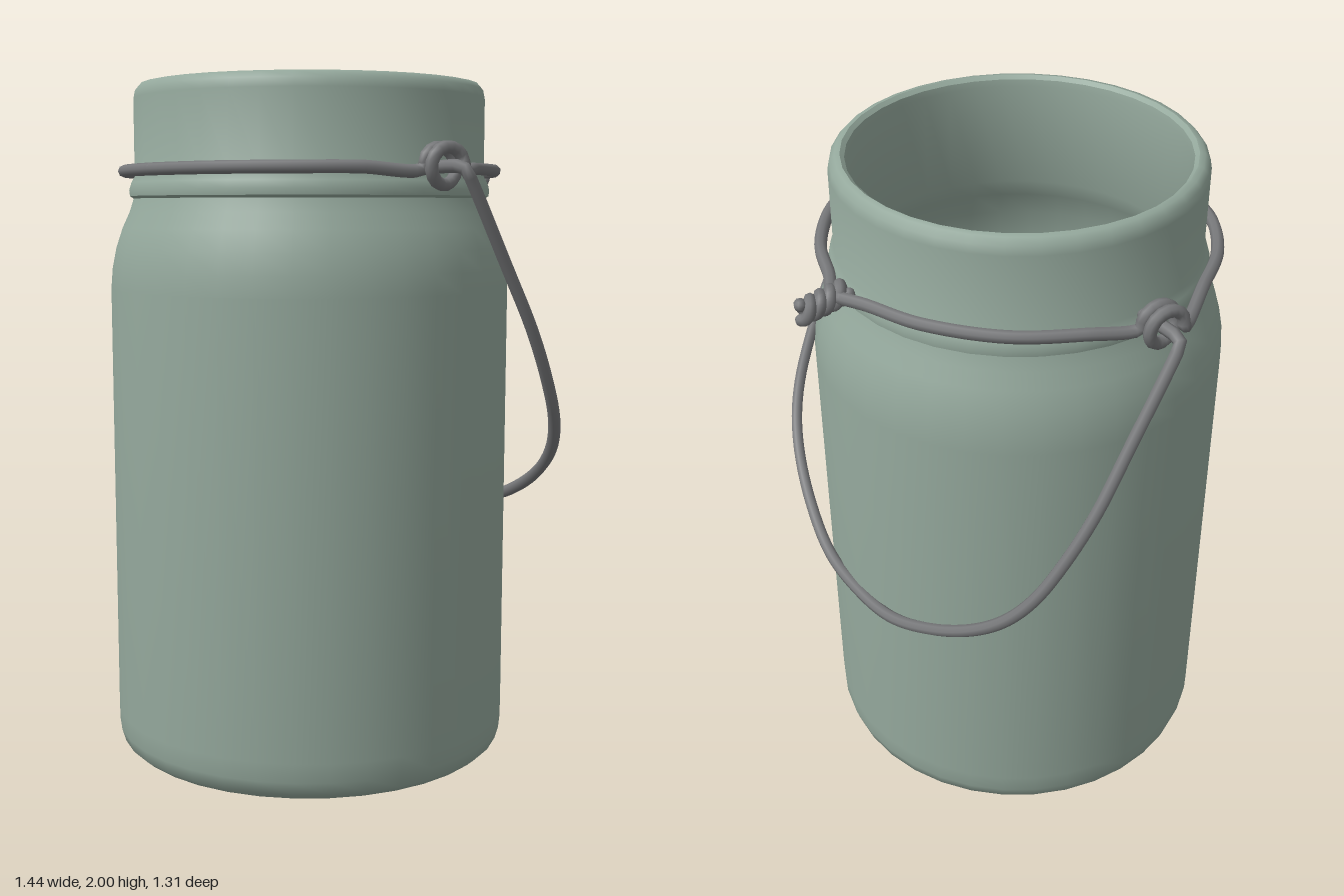
import * as THREE from 'three';
import { toCreasedNormals } from 'three/addons/utils/BufferGeometryUtils.js';

const CZ = 0.065;   // jar axis in z
const WIRE = 0.018; // wire radius
const WY = 1.745;   // height of the neck wire

export function createModel() {
  const group = new THREE.Group();
  const glass = new THREE.MeshStandardMaterial({ color: 0x94a89c, name: 'sage glass' });
  const steel = new THREE.MeshStandardMaterial({ color: 0x77787a, name: 'grey wire' });
  const amber = new THREE.MeshStandardMaterial({ color: 0xb8936c, name: 'amber flame' });

  const add = (name, geometry, material, x = 0, y = 0, z = 0) => {
    const mesh = new THREE.Mesh(geometry, material);
    mesh.name = name;
    mesh.position.set(x, y, z);
    group.add(mesh);
    return mesh;
  };
  const lathe = (profile, sides) => toCreasedNormals(
    new THREE.LatheGeometry(profile.map(([r, y]) => new THREE.Vector2(r, y)), sides), 0.7);
  // Round wire through points, with rounded ends
  const wire = (name, points, steps, radius = WIRE) => {
    const path = new THREE.CatmullRomCurve3(points.map(p => new THREE.Vector3(...p)), false, 'centripetal');
    add(name, new THREE.TubeGeometry(path, steps, radius, 8), steel);
    for (const p of [points[0], points[points.length - 1]]) {
      add(name + 'End', new THREE.SphereGeometry(radius, 8, 6), steel, ...p);
    }
  };

  // Jar: outer wall, neck bead, rim, then the inner wall and floor
  add('jar', lathe([
    [0, 0], [0.53, 0], [0.56, 0.008], [0.583, 0.028], [0.594, 0.065], [0.595, 0.12],
    [0.595, 1.4], [0.59, 1.46], [0.578, 1.52], [0.558, 1.58], [0.537, 1.625], [0.524, 1.665],
    [0.535, 1.672], [0.537, 1.69], [0.53, 1.712], [0.52, 1.73],
    [0.52, 1.955], [0.515, 1.98], [0.5, 1.997], [0.485, 2], [0.473, 1.99], [0.47, 1.97],
    [0.47, 1.66], [0.5, 1.6], [0.535, 1.52], [0.555, 1.4],
    [0.555, 0.1], [0.53, 0.05], [0, 0.05],
  ], 36), glass, 0, 0, CZ);

  // Candle standing off centre inside the jar, with its flame
  add('candle', new THREE.CylinderGeometry(0.295, 0.295, 0.8, 28), glass, 0.085, 0.45, 0.125);
  add('flame', lathe([
    [0, 0], [0.03, 0.012], [0.05, 0.04], [0.055, 0.07], [0.045, 0.11], [0.025, 0.16], [0, 0.22],
  ], 14), amber, 0.085, 0.86, 0.125);

  // Neck wire: each half runs from the front, coils into an eyelet, and on to the back
  for (const s of [1, -1]) {
    const xFront = s > 0 ? 0.59 : 0.645;
    const xBack = s > 0 ? 0.645 : 0.59;
    const points = [[0, WY, 0.605], [s * 0.13, WY, 0.59], [s * 0.27, WY, 0.545],
      [s * 0.42, WY, 0.43], [s * 0.53, WY, 0.28]];
    const coil = 16;
    for (let i = 0; i <= coil; i++) {
      const t = i / coil;
      const a = -0.15 + t * (Math.PI * 3 + 0.3);
      points.push([s * THREE.MathUtils.lerp(xFront, xBack, t),
        1.748 + 0.05 * Math.sin(a), CZ + 0.05 * Math.cos(a)]);
    }
    points.push([s * 0.535, WY, -0.12], [s * 0.43, WY, -0.285], [s * 0.25, WY, -0.43],
      [s * 0.09, WY, -0.495], [s * 0.025, WY, -0.53]);
    wire(s > 0 ? 'leftNeckWire' : 'rightNeckWire', points, 110);

    // Twisted tail behind the neck
    const tail = [];
    for (let i = 0; i <= 24; i++) {
      const t = i / 24;
      const a = t * Math.PI * 4.5;
      tail.push([s * 0.02 * Math.cos(a), WY - 0.02 * t + s * 0.022 * Math.sin(a), -0.5 - 0.135 * t]);
    }
    wire(s > 0 ? 'leftTwist' : 'rightTwist', tail, 56, 0.017);
  }

  // Bail handle hanging down behind the jar: [x, fraction of the way down]
  const side = [[0.55, 0], [0.68, 0], [0.697, 0.008], [0.7, 0.035], [0.7, 0.25], [0.698, 0.42],
    [0.675, 0.56], [0.64, 0.67], [0.585, 0.755], [0.5, 0.83], [0.36, 0.91], [0.18, 0.975]];
  const bail = [...side, [0, 0.99], ...side.map(([x, t]) => [-x, t]).reverse()];
  wire('handle', bail.map(([x, t]) => [x, WY - 1.05 * t, 0.06 - 0.6 * t]), 120);

  return group;
}
